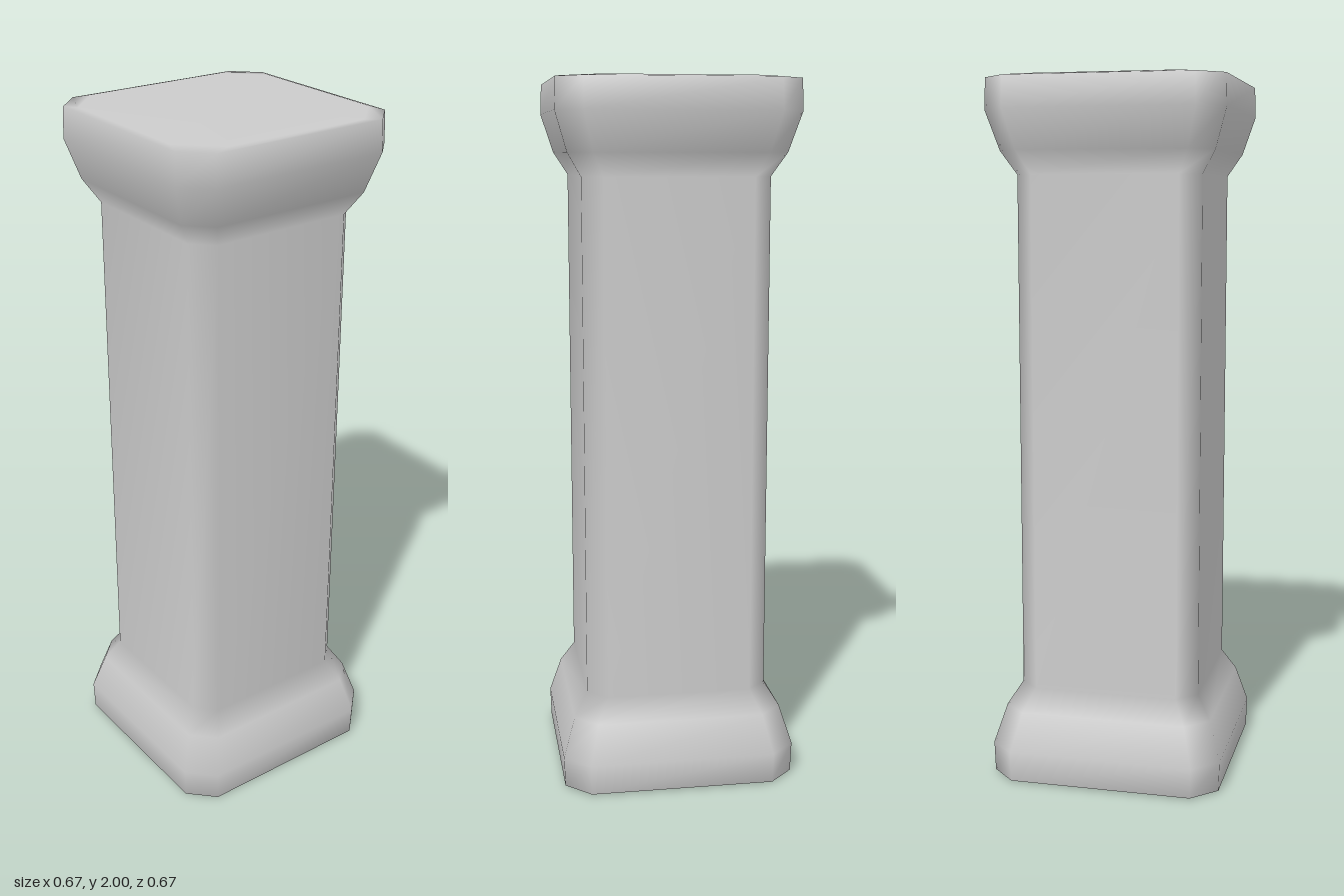
import * as THREE from 'three';

// Square ring with cut corners, counter-clockwise seen from above.
// half = half width, cut = where the flat side ends.
function ring(half, cut) {
  return [[half, cut], [half, -cut], [cut, -half], [-cut, -half],
    [-half, -cut], [-half, cut], [-cut, half], [cut, half]];
}

// Smooth solid through stacked rings [y, half, cut], closed at both ends.
function loft(sections) {
  const positions = [], index = [];
  const n = 8;
  for (const [y, half, cut] of sections) {
    for (const [x, z] of ring(half, cut)) positions.push(x, y, z);
  }
  const last = (sections.length - 1) * n;
  const bottom = sections.length * n, top = bottom + 1;
  positions.push(0, sections[0][0], 0, 0, sections[sections.length - 1][0], 0);
  for (let i = 0; i < n; i++) {
    const j = (i + 1) % n;
    for (let r = 0; r < last; r += n) {
      index.push(r + i, r + j, r + n + j, r + i, r + n + j, r + n + i);
    }
    index.push(bottom, j, i, top, last + i, last + j);
  }
  const geometry = new THREE.BufferGeometry();
  geometry.setAttribute('position', new THREE.Float32BufferAttribute(positions, 3));
  geometry.setIndex(index);
  geometry.computeVertexNormals();
  return geometry;
}

export function createModel() {
  const group = new THREE.Group();
  group.name = 'pillar';

  // Lower half: flat foot, flared base, start of the shaft.
  const lower = [
    [0, 0.316, 0.215],
    [0.004, 0.333, 0.263],
    [0.09, 0.336, 0.265],
    [0.2, 0.302, 0.238],
    [0.265, 0.262, 0.207],
  ];
  // The capital mirrors the base.
  const upper = lower.map(([y, half, cut]) => [2 - y, half, cut]).reverse();

  const column = new THREE.Mesh(
    loft([...lower, ...upper]),
    new THREE.MeshStandardMaterial({ color: 0xcccccc })
  );
  column.name = 'column';
  group.add(column);
  return group;
}
